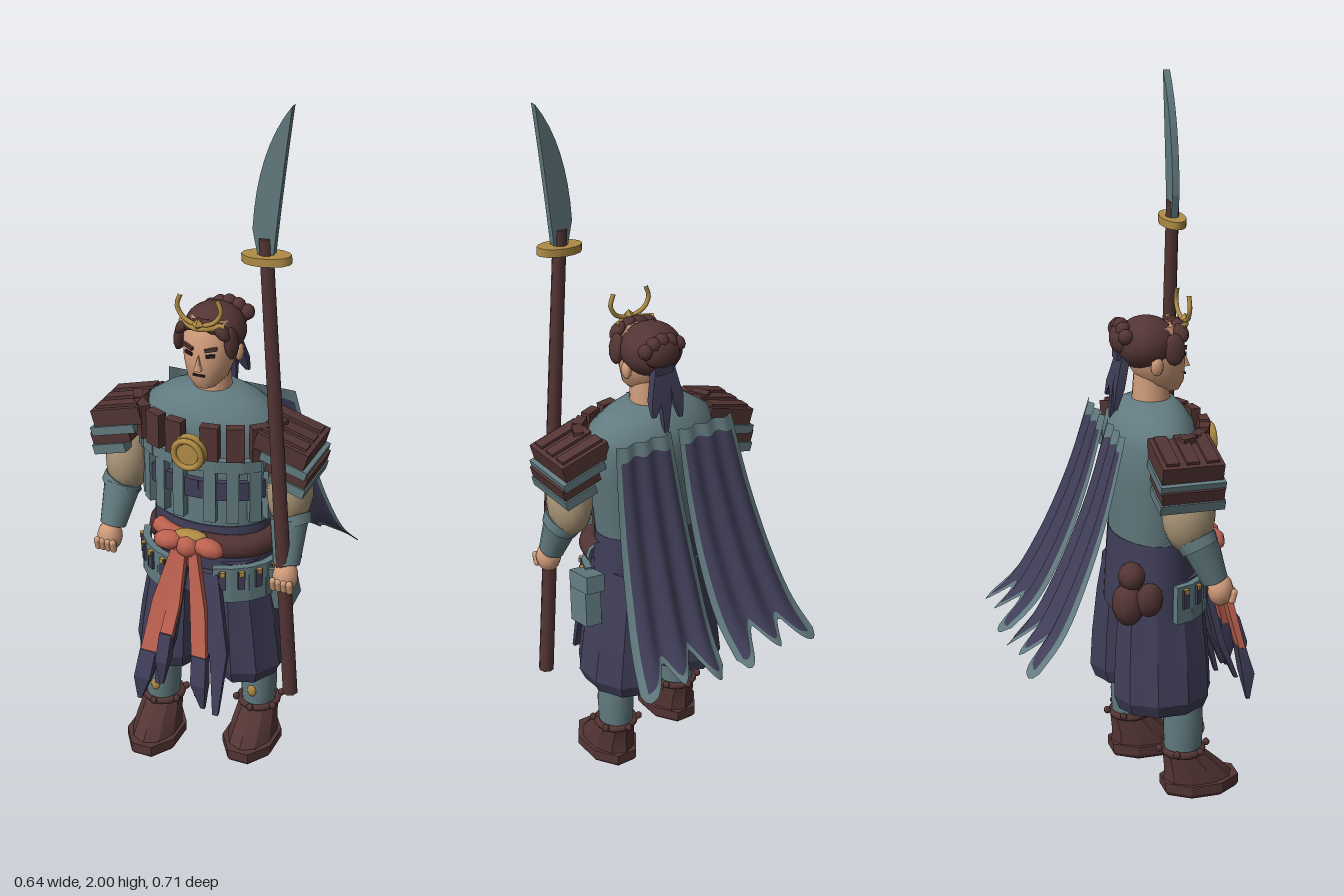
import * as THREE from 'three';
import { toCreasedNormals } from 'three/addons/utils/BufferGeometryUtils.js';

const mat = (name, color) => Object.assign(new THREE.MeshStandardMaterial({ color }), { name });

export function createModel() {
  const teal = mat('slateTeal', 0x627b80), navy = mat('indigoCloth', 0x403e58), brown = mat('darkLeather', 0x533534);
  const skin = mat('skin', 0xd09c7a), tan = mat('sleeveTan', 0xaa9678), gold = mat('gold', 0xb08c46);
  const salmon = mat('sashRed', 0xbd6150), dark = mat('faceDark', 0x2a1d1d);
  const clothNavy = mat('capeIndigo', 0x403e58), clothTeal = mat('capeTrim', 0x627b80);
  clothNavy.side = clothTeal.side = THREE.DoubleSide;
  const model = new THREE.Group();
  model.name = 'armouredWarrior';

  const add = (name, geo, m, pos = [0, 0, 0], rot = [0, 0, 0], scale = [1, 1, 1], parent = model) => {
    const mesh = new THREE.Mesh(geo, m);
    mesh.name = name;
    mesh.position.set(...pos);
    mesh.rotation.set(...rot);
    mesh.scale.set(...scale);
    parent.add(mesh);
    return mesh;
  };
  const box = (w, h, d) => new THREE.BoxGeometry(w, h, d);
  const ball = (r, n = 14) => new THREE.SphereGeometry(r, n, Math.ceil(n * 0.7));
  const V = (p) => new THREE.Vector3(...p);
  const tube = (pts, r, seg = 12) => new THREE.TubeGeometry(new THREE.CatmullRomCurve3(pts.map(V)), seg, r, 8);

  // Closed loft through elliptical rings [y, cx, cz, rx, rz], lowest first
  const loft = (rings, n = 24, crease = 0.7, pleat = () => 1, phase = 0) => {
    const pos = [], idx = [], last = rings.length - 1;
    rings.forEach(([y, cx, cz, rx, rz], r) => {
      for (let i = 0; i < n; i++) {
        const a = phase + (i / n) * Math.PI * 2, k = pleat(i, r);
        pos.push(cx + rx * k * Math.sin(a), y, cz + rz * k * Math.cos(a));
      }
    });
    for (let r = 0; r < last; r++) for (let i = 0; i < n; i++) {
      const a = r * n + i, b = r * n + (i + 1) % n;
      idx.push(a, b, b + n, a, b + n, a + n);
    }
    const c = pos.length / 3;
    for (const r of [0, last]) pos.push(rings[r][1], rings[r][0], rings[r][2]);
    for (let i = 0; i < n; i++) {
      const j = (i + 1) % n;
      idx.push(c, j, i, c + 1, last * n + i, last * n + j);
    }
    const g = new THREE.BufferGeometry();
    g.setAttribute('position', new THREE.Float32BufferAttribute(pos, 3));
    g.setIndex(idx);
    return toCreasedNormals(g, crease);
  };
  const strip = (rings) => loft(rings, 4, 0.3, () => Math.SQRT2, Math.PI / 4);
  // Tapered cylinder between two points
  const limb = (name, a, b, ra, rb, m, n = 14) => {
    const A = V(a), B = V(b), d = B.clone().sub(A);
    const mesh = add(name, new THREE.CylinderGeometry(rb, ra, d.length(), n), m, A.clone().add(B).multiplyScalar(0.5).toArray());
    mesh.quaternion.setFromUnitVectors(new THREE.Vector3(0, 1, 0), d.normalize());
    return mesh;
  };
  // Box set on an ellipse round the body, facing outward
  const onBody = (name, size, m, a, y, rx, rz, cz = 0.08) =>
    add(name, box(...size), m, [rx * Math.sin(a), y, cz + rz * Math.cos(a)], [0, Math.atan2(Math.sin(a) / rx, Math.cos(a) / rz), 0]);

  // Torso and neck
  add('torso', loft([[0.74, 0, 0.08, 0.165, 0.112], [0.85, 0, 0.077, 0.178, 0.115], [0.96, 0, 0.075, 0.195, 0.121],
    [1.05, 0, 0.075, 0.2, 0.124], [1.09, 0, 0.076, 0.185, 0.115], [1.125, 0, 0.078, 0.135, 0.09], [1.15, 0, 0.08, 0.075, 0.062]], 32, 1), teal);
  add('neck', new THREE.CylinderGeometry(0.048, 0.056, 0.12, 14), skin, [0, 1.17, 0.08]);

  // Chest armour: leather tabs, teal lamellae and indigo lacing
  for (const s of [-1, 1]) {
    for (const a of [0.235, 0.57, 0.93, 1.27]) {
      onBody('chestTab', [0.05, 0.1, 0.028], brown, s * a, 1.045, 0.215, 0.14);
      onBody('chestLamella', [0.034, 0.18, 0.024], teal, s * a, 0.885, 0.192, 0.125);
    }
    for (const a of [0.09, 0.4, 0.75, 1.1])
      onBody('chestLacing', [0.062, 0.055, 0.018], navy, s * a, 0.89, 0.187, 0.122);
    for (const a of [0.15, 0.5, 0.9, 1.25])
      onBody('chestRim', [0.08, 0.035, 0.02], teal, s * a, 0.97, 0.2, 0.128);
  }
  add('medallion', new THREE.CylinderGeometry(0.05, 0.05, 0.025, 16), gold, [0, 1.015, 0.238], [Math.PI / 2, 0, 0]);
  add('medallionRim', new THREE.TorusGeometry(0.04, 0.009, 6, 18), gold, [0, 1.015, 0.253]);

  for (const s of [-1, 1]) {
    // Layered shoulder guards
    [[0.24, 1.045, 0.15, 0.05, 0.17, brown], [0.25, 1.005, 0.135, 0.025, 0.18, teal],
      [0.258, 0.98, 0.12, 0.035, 0.172, brown], [0.262, 0.945, 0.1, 0.028, 0.18, teal]].forEach(([x, y, w, h, d, m]) =>
      add('shoulderGuard', box(w, h, d), m, [s * x, y, 0.105], [0, 0, -s * 0.28]));
    for (const z of [0.05, 0.105, 0.16])
      add('shoulderRib', box(0.13, 0.012, 0.035), brown, [s * 0.245, 1.072, z], [0, 0, -s * 0.28]);
    // Arms, bracers and hands
    add('upperArm', ball(1, 18), tan, [s * 0.242, 0.885, 0.115], [0, 0, 0], [0.062, 0.105, 0.073]);
    limb('bracer', [s * 0.262, 0.7, 0.185], [s * 0.25, 0.815, 0.14], 0.037, 0.053, teal);
    limb('bracerCuff', [s * 0.262, 0.795, 0.143], [s * 0.25, 0.82, 0.133], 0.054, 0.058, teal, 10);
    add('hand', ball(1, 12), skin, [s * 0.265, 0.67, 0.2], [0, 0, 0], [0.036, 0.046, 0.036]);
    for (let i = 0; i < 4; i++)
      add('finger', new THREE.CapsuleGeometry(0.01, 0.024, 3, 8), skin, [s * (0.241 + i * 0.016), 0.655, 0.229], [0.25, 0, 0]);
  }

  // Head and face
  add('face', loft([[1.17, 0, 0.125, 0.03, 0.035], [1.195, 0, 0.11, 0.055, 0.062], [1.245, 0, 0.095, 0.071, 0.079],
    [1.31, 0, 0.09, 0.074, 0.082], [1.355, 0, 0.085, 0.055, 0.06]], 20, 0.8), skin);
  add('nose', new THREE.ConeGeometry(0.013, 0.045, 4), skin, [0, 1.253, 0.177], [-0.15, Math.PI / 4, 0]);
  add('mouth', box(0.034, 0.006, 0.006), dark, [0, 1.214, 0.172]);
  for (const s of [-1, 1]) {
    add('eye', box(0.024, 0.009, 0.006), dark, [s * 0.031, 1.273, 0.168], [0, s * 0.35, s * 0.1]);
    add('brow', box(0.034, 0.009, 0.008), brown, [s * 0.033, 1.292, 0.168], [0, s * 0.35, s * 0.2]);
    add('ear', ball(1, 8), skin, [s * 0.075, 1.255, 0.075], [0, 0, 0], [0.012, 0.026, 0.018]);
  }
  // Hair, top knot and tail
  add('hair', ball(1, 18), brown, [0, 1.305, 0.066], [0, 0, 0], [0.086, 0.075, 0.086]);
  for (const s of [-1, 1]) {
    add('sideLock', ball(1, 8), brown, [s * 0.073, 1.3, 0.125], [0, 0, s * 0.12], [0.017, 0.045, 0.03]);
    add('templeLock', ball(1, 8), brown, [s * 0.055, 1.34, 0.148], [0, 0, s * 0.7], [0.016, 0.03, 0.022]);
    add('fringe', ball(1, 8), brown, [s * 0.024, 1.35, 0.15], [0, 0, s * 1.1], [0.015, 0.03, 0.02]);
  }
  add('topKnot', ball(1, 10), brown, [0.01, 1.32, -0.002], [0, 0, 0], [0.056, 0.046, 0.032]);
  for (let i = 0; i < 5; i++)
    add('knotCurl', ball(0.022, 8), brown, [-0.04 + i * 0.026, 1.335 + 0.02 * Math.sin(i * 0.78), -0.003]);
  add('hairTie', box(0.05, 0.025, 0.04), navy, [0.01, 1.275, 0]);
  for (const [x, tip] of [[-0.022, 1.13], [0.012, 1.09], [0.04, 1.15]])
    add('hairTail', strip([[tip, x * 1.4, -0.03, 0.006, 0.005], [1.19, x * 1.1, -0.018, 0.017, 0.012], [1.28, x * 0.6, 0.003, 0.012, 0.012]]), navy);
  // Crown with crescent horns
  add('crownBand', tube([[-0.062, 1.355, 0.145], [0, 1.352, 0.176], [0.062, 1.355, 0.145]], 0.009), gold);
  add('crownBoss', new THREE.OctahedronGeometry(0.018), gold, [0, 1.362, 0.176]);
  for (const s of [-1, 1])
    add('crownHorn', tube([[s * 0.012, 1.36, 0.172], [s * 0.045, 1.375, 0.17], [s * 0.062, 1.405, 0.17], [s * 0.052, 1.44, 0.17]], 0.0065), gold);

  // Waist, wide trousers, legs and shoes
  add('waistCloth', loft([[0.55, 0, 0.08, 0.182, 0.128], [0.68, 0, 0.08, 0.172, 0.122], [0.77, 0, 0.08, 0.17, 0.116]], 28, 0.5), navy);
  for (const s of [-1, 1]) {
    const z = s > 0 ? 0.06 : 0.14, pz = s > 0 ? 0.075 : 0.085;
    add('trouserLeg', loft([[0.27, s * 0.11, pz, 0.098, 0.127], [0.31, s * 0.112, pz, 0.114, 0.142], [0.42, s * 0.105, pz, 0.106, 0.138],
      [0.56, s * 0.094, pz, 0.092, 0.126], [0.66, s * 0.088, 0.08, 0.08, 0.115]], 20, 0.25, (i, r) => (i % 2 && r < 4 ? 0.93 : 1)), navy);
    add('shin', loft([[0.1, s * 0.135, z, 0.046, 0.052], [0.2, s * 0.135, z, 0.052, 0.058], [0.32, s * 0.13, z, 0.05, 0.056]], 16), teal);
    add('shinStud', ball(1, 8), gold, [s * 0.135, 0.19, z + 0.056], [0, 0, 0], [0.014, 0.02, 0.008]);
    add('sole', loft([[0, s * 0.135, z + 0.05, 0.068, 0.104], [0.012, s * 0.135, z + 0.05, 0.076, 0.112], [0.04, s * 0.135, z + 0.05, 0.076, 0.112]],
      8, 0.3, () => 1.06, Math.PI / 8), brown);
    add('shoe', loft([[0.04, s * 0.135, z + 0.045, 0.068, 0.102], [0.075, s * 0.135, z + 0.03, 0.064, 0.085], [0.125, s * 0.135, z, 0.056, 0.06]],
      10, 0.3), brown);
    add('ankleCuff', new THREE.TorusGeometry(0.056, 0.01, 6, 14), brown, [s * 0.135, 0.132, z], [Math.PI / 2, 0, 0]);
    for (let i = 0; i < 6; i++)
      add('cuffBead', ball(0.011, 6), brown, [s * 0.135 + 0.066 * Math.sin(i * 1.047), 0.14, z + 0.07 * Math.cos(i * 1.047)]);
    // Hip plates with laced loops
    for (const a of [0.45, 0.72, 1.0, 1.3]) {
      onBody('hipPlate', [0.054, 0.11, 0.02], teal, s * a, 0.605, 0.195, 0.148);
      onBody('hipLoop', [0.02, 0.055, 0.018], navy, s * a, 0.622, 0.203, 0.156);
      onBody('hipStud', [0.014, 0.014, 0.02], gold, s * a, 0.645, 0.206, 0.159);
    }
  }

  // Sash with knot and trailing ribbons
  const sash = (a0, a1) => Array.from({ length: 6 }, (_, i) => {
    const a = a0 + (a1 - a0) * i / 5;
    return [0.178 * Math.sin(a), 0.725 - 0.012 * Math.sin(a), 0.08 + 0.135 * Math.cos(a)];
  });
  add('sash', tube(sash(0.1, 1.6), 0.034), brown, [0, 0, 0]);
  add('sashEnd', tube(sash(-0.75, 0.75), 0.024), salmon);
  add('sashClasp', ball(1, 10), gold, [0, 0.755, 0.235], [0, 0, 0], [0.05, 0.014, 0.025]);
  add('sashKnot', ball(1, 8), salmon, [0, 0.73, 0.255], [0, 0, 0], [0.034, 0.032, 0.03]);
  for (const s of [-1, 1])
    add('sashBow', ball(1, 8), salmon, [s * 0.06, 0.735, 0.25], [0, 0, -s * 0.15], [0.045, 0.028, 0.03]);
  for (const [x0, x1, y1, w] of [[-0.03, -0.09, 0.4, 0.024], [0.02, 0.065, 0.42, 0.022], [-0.012, -0.035, 0.47, 0.018]]) {
    const xm = (x0 + x1) / 2 + x0 * 0.2;
    add('sashRibbon', strip([[y1, x1, 0.325, w, 0.009], [0.56, xm, 0.288, w, 0.01], [0.72, x0, 0.258, w * 0.6, 0.012]]), salmon);
    add('ribbonTip', strip([[y1 - 0.15, x1 * 1.25, 0.342, 0.006, 0.005], [y1 - 0.07, x1 * 1.1, 0.34, w, 0.018], [y1 + 0.01, x1, 0.322, w, 0.012]]), navy);
  }
  for (const [x, tip] of [[0.05, 0.29], [0.1, 0.24], [-0.06, 0.3]])
    add('frontTatter', strip([[tip, x * 1.1, 0.32, 0.008, 0.006], [0.42, x, 0.27, 0.026, 0.01], [0.64, x * 0.6, 0.22, 0.018, 0.01]]), navy);

  // Hip pouches
  add('sidePouch', box(0.05, 0.15, 0.085), teal, [0.215, 0.575, 0.085], [0.2, 0, 0.1]);
  add('pouchFlap', box(0.058, 0.05, 0.095), teal, [0.215, 0.635, 0.075], [0.2, 0, 0.1]);
  add('hipGourd', ball(1, 10), brown, [-0.16, 0.61, -0.03], [0, 0, 0], [0.052, 0.062, 0.046]);
  add('hipGourdTop', ball(1, 10), brown, [-0.158, 0.69, -0.02], [0, 0, 0], [0.042, 0.04, 0.038]);
  add('hipBag', ball(1, 8), brown, [-0.195, 0.63, 0.02], [0, 0, 0], [0.03, 0.05, 0.04]);

  // Split cape: pleated sheets with ragged ends and a pale border
  const fall = new THREE.CatmullRomCurve3([[0, 1.1, -0.05], [0, 0.89, -0.11], [0, 0.71, -0.18], [0, 0.57, -0.255], [0, 0.475, -0.345]].map(V));
  const cuts = [[0, 0.97], [0.08, 1], [0.36, 0.78], [0.55, 0.9], [0.7, 0.79], [0.95, 1], [1, 0.96]];
  const reach = (u) => {
    const k = Math.max(1, cuts.findIndex((c) => c[0] >= u)), [a, p] = cuts[k - 1], [b, q] = cuts[k];
    return THREE.MathUtils.lerp(p, q, (u - a) / (b - a));
  };
  const NU = 28, NV = 20;
  for (const s of [-1, 1]) {
    const pos = [], main = [], trim = [];
    for (let j = 0; j <= NV; j++) for (let i = 0; i <= NU; i++) {
      const u = i / NU, v = (j / NV) * reach(u), p = fall.getPoint(v);
      const inner = 0.012 - 0.012 * Math.sin(v * Math.PI) + 0.012 * v, outer = 0.19 + 0.11 * v;
      const fold = 0.012 * Math.cos(u * Math.PI * 6) * (0.3 + v) - 0.028 * Math.sin(u * Math.PI) * v;
      pos.push(s * (inner + (outer - inner) * u), p.y + fold * 0.5, p.z + fold);
    }
    for (let j = 0; j < NV; j++) for (let i = 0; i < NU; i++) {
      const a = j * (NU + 1) + i, b = a + 1, c = a + NU + 1, d = c + 1;
      const edge = i < 2 || i > NU - 3 || j > NV - 2 || j < 1;
      (edge ? trim : main).push(...(s > 0 ? [a, b, d, a, d, c] : [a, d, b, a, c, d]));
    }
    const g = new THREE.BufferGeometry();
    g.setAttribute('position', new THREE.Float32BufferAttribute(pos, 3));
    g.setIndex([...main, ...trim]);
    g.addGroup(0, main.length, 0);
    g.addGroup(main.length, trim.length, 1);
    g.computeVertexNormals();
    add('capeHalf', g, [clothNavy, clothTeal]);
  }

  // Polearm: shaft, oval guard and curved blade
  limb('shaft', [0.286, 0.29, 0.2], [0.197, 1.65, 0.2], 0.022, 0.019, brown, 8);
  add('guard', new THREE.CylinderGeometry(1, 1, 0.022, 14), gold, [0.2, 1.595, 0.2], [0, 0, 0.08], [0.067, 1, 0.036]);
  const blade = new THREE.Shape();
  blade.moveTo(0.18, 1.6);
  blade.lineTo(0.165, 1.67);
  blade.quadraticCurveTo(0.175, 1.88, 0.265, 2);
  blade.quadraticCurveTo(0.24, 1.8, 0.222, 1.61);
  const bladeGeo = new THREE.ExtrudeGeometry(blade, { depth: 0.02, bevelEnabled: false, curveSegments: 8 });
  add('blade', bladeGeo, teal, [0, 0, 0.19]);
  return model;
}
